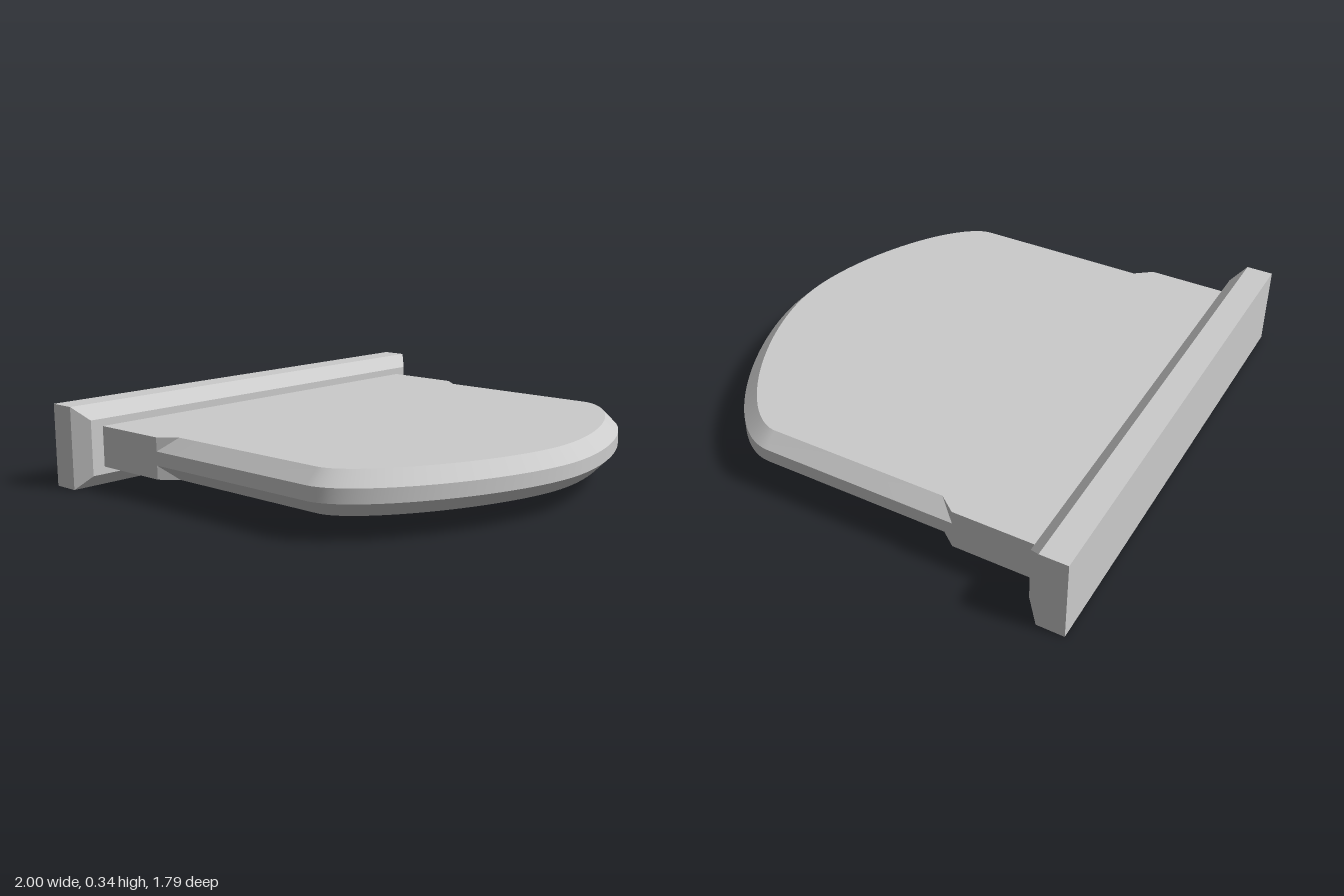
import * as THREE from 'three';
import { toCreasedNormals } from 'three/addons/utils/BufferGeometryUtils.js';

const material = new THREE.MeshStandardMaterial({ color: 0xcccccc });

// Closed solid from counter-clockwise [x, y] rings stacked along z.
function loft(rings, levels) {
  const pos = [];
  const at = (r, i) => new THREE.Vector3(...rings[r][i % rings[r].length], levels[r]);
  const tri = (a, b, c) => {
    const area = b.clone().sub(a).cross(c.clone().sub(a)).length();
    if (area > 1e-9) for (const p of [a, b, c]) pos.push(p.x, p.y, p.z);
  };
  const n = rings[0].length, last = rings.length - 1;
  for (let r = 0; r < last; r++) {
    for (let i = 0; i < n; i++) {
      tri(at(r, i), at(r, i + 1), at(r + 1, i + 1));
      tri(at(r, i), at(r + 1, i + 1), at(r + 1, i));
    }
  }
  for (const r of [0, last]) {
    const flat = rings[r].map(p => new THREE.Vector2(...p));
    for (const [a, b, c] of THREE.ShapeUtils.triangulateShape(flat, [])) {
      if (r === 0) tri(at(r, a), at(r, c), at(r, b));
      else tri(at(r, a), at(r, b), at(r, c));
    }
  }
  const g = new THREE.BufferGeometry();
  g.setAttribute('position', new THREE.Float32BufferAttribute(pos, 3));
  return toCreasedNormals(g, 0.5);
}

// Plate outline, nose first; inset pulls in the bevelled part only.
function plateOutline(inset) {
  const nose = new THREE.CubicBezierCurve(
    new THREE.Vector2(0, -0.895), new THREE.Vector2(0.36, -0.895),
    new THREE.Vector2(0.89, -0.62), new THREE.Vector2(0.89, -0.4));
  const half = [];
  const steps = 32;
  for (let i = 0; i <= steps; i++) {
    const p = nose.getPoint(i / steps), t = nose.getTangent(i / steps);
    half.push([i ? p.x - t.y * inset : 0, p.y + t.x * inset]);
  }
  // end of the bevel, then the square shank behind it
  half.push([0.89 - inset, inset ? 0.33 : 0.4], [0.89, 0.4], [0.89, 0.74]);
  const mirrored = half.slice(1).reverse().map(([x, y]) => [-x, y]);
  return [...half, ...mirrored];
}

const rectangle = (w, h) => [[-w, -h], [w, -h], [w, h], [-w, h]];

export function createModel() {
  const group = new THREE.Group();
  const add = (name, geometry) => {
    const mesh = new THREE.Mesh(geometry, material);
    mesh.name = name;
    group.add(mesh);
    return mesh;
  };
  const middle = 0.1675;

  // Rounded tongue with bevels above and below
  const outer = plateOutline(0), inner = plateOutline(0.055);
  const plate = add('tonguePlate', loft([inner, outer, outer, inner], [-0.0825, -0.0275, 0.0275, 0.0825]));
  plate.geometry.rotateX(-Math.PI / 2);
  plate.position.y = middle;

  // Rear bar with a bevelled front rim
  const full = rectangle(1, middle), rim = rectangle(0.945, middle - 0.055);
  add('rearBar', loft([full, full, rim], [-0.9, -0.79, -0.735])).position.y = middle;

  return group;
}
